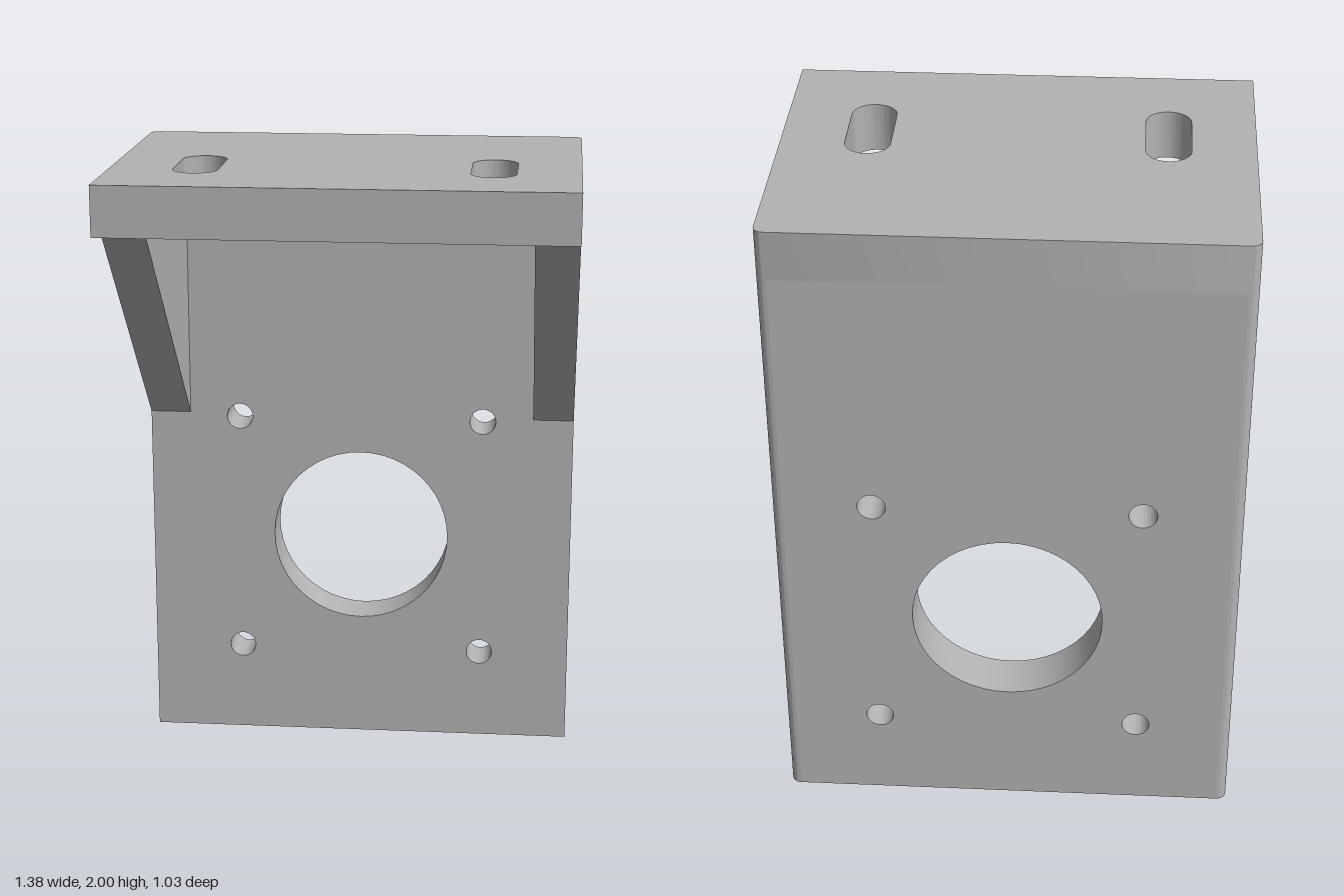
import * as THREE from 'three';
import { toCreasedNormals } from 'three/addons/utils/BufferGeometryUtils.js';

const W = 0.69, D = 0.513, T = 0.15, H = 2, R = 0.03;

const steel = new THREE.MeshStandardMaterial({ color: 0xb3b3b3 });
steel.name = 'grey metal';

function extrude(shape, depth) {
  const g = new THREE.ExtrudeGeometry(shape, { depth, bevelEnabled: false, curveSegments: 24 });
  return toCreasedNormals(g, 0.6);
}

function polygon(points) {
  return new THREE.Shape(points.map(([x, y]) => new THREE.Vector2(x, y)));
}

function circleHole(x, y, r) {
  return new THREE.Path().absarc(x, y, r, 0, Math.PI * 2, true);
}

// Slot elongated along the second axis, from y0 to y1
function slotHole(x, y0, y1, r) {
  const p = new THREE.Path();
  p.absarc(x, y1 - r, r, 0, Math.PI, false);
  p.absarc(x, y0 + r, r, Math.PI, Math.PI * 2, false);
  p.closePath();
  return p;
}

export function createModel() {
  const model = new THREE.Group();
  model.name = 'motorBracket';
  const add = (name, geometry) => {
    const mesh = new THREE.Mesh(geometry, steel);
    mesh.name = name;
    model.add(mesh);
  };

  // Top plate: footprint with rounded rear corners and two slots (shape y is -z)
  const top = new THREE.Shape();
  top.moveTo(-W, -D);
  top.lineTo(W, -D);
  top.lineTo(W, D - R);
  top.absarc(W - R, D - R, R, 0, Math.PI / 2, false);
  top.lineTo(-W + R, D);
  top.absarc(-W + R, D - R, R, Math.PI / 2, Math.PI, false);
  top.closePath();
  for (const s of [-1, 1]) top.holes.push(slotHole(s * 0.435, -0.283, 0.034, 0.067));
  add('topPlate', extrude(top, T).rotateX(-Math.PI / 2).translate(0, H - T, 0));

  // Back plate with the central bore and four screw holes
  const inner = W - R;
  const back = polygon([[-inner, 0], [inner, 0], [inner, H - T], [-inner, H - T]]);
  back.holes.push(circleHole(0, 0.695, 0.286));
  for (const x of [-0.397, 0.397])
    for (const y of [0.297, 1.094]) back.holes.push(circleHole(x, y, 0.042));
  add('backPlate', extrude(back, T).translate(0, 0, -D));

  // Rounded side edges of the back plate
  for (const s of [-1, 1]) {
    const edge = new THREE.Shape();
    edge.moveTo(s * inner, D - T);
    edge.lineTo(s * W, D - T);
    edge.lineTo(s * W, D - R);
    edge.absarc(s * inner, D - R, R, s > 0 ? 0 : Math.PI, Math.PI / 2, s < 0);
    edge.closePath();
    add(s > 0 ? 'leftPlateEdge' : 'rightPlateEdge',
      extrude(edge, H - T).rotateX(-Math.PI / 2));
  }

  // Triangular gussets under the top plate (shape x is z)
  const gussetT = 0.13;
  const gusset = polygon([[T - D, 1.105], [0.388, H - T], [T - D, H - T]]);
  for (const s of [-1, 1])
    add(s > 0 ? 'leftGusset' : 'rightGusset',
      extrude(gusset, gussetT).rotateY(-Math.PI / 2).translate(s > 0 ? W : gussetT - W, 0, 0));

  return model;
}
